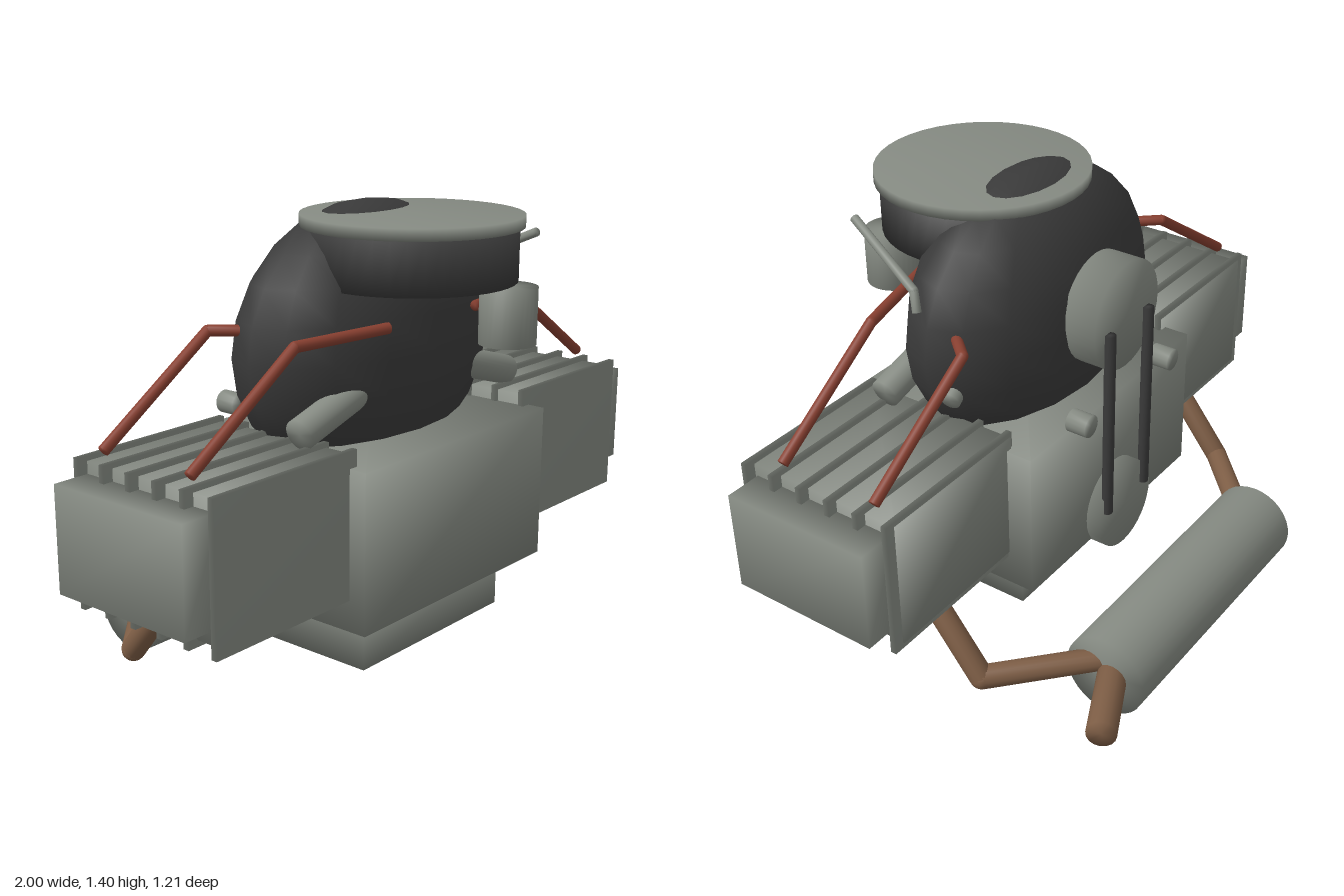
import * as THREE from 'three';
import { mergeVertices } from 'three/addons/utils/BufferGeometryUtils.js';

const material = (name, color) => {
  const m = new THREE.MeshStandardMaterial({ color });
  m.name = name;
  return m;
};

export function createModel() {
  const root = new THREE.Group();
  root.name = 'engine';
  const metal = material('castMetal', 0x858a82);
  const dark = material('darkShroud', 0x3a3a3a);
  const red = material('redLeads', 0x873f30);
  const rust = material('exhaustBrown', 0x7d5d45);

  // Shared corners give the soft, rounded shading
  const soften = (g) => {
    g.deleteAttribute('uv');
    g.deleteAttribute('normal');
    const merged = mergeVertices(g, 1e-4);
    merged.computeVertexNormals();
    return merged;
  };
  const add = (name, geometry, mat, parent = root) => {
    const mesh = new THREE.Mesh(geometry, mat);
    mesh.name = name;
    parent.add(mesh);
    return mesh;
  };
  const box = (name, x0, x1, y0, y1, z0, z1, mat, parent) => {
    const g = soften(new THREE.BoxGeometry(x1 - x0, y1 - y0, z1 - z0));
    add(name, g, mat, parent).position.set((x0 + x1) / 2, (y0 + y1) / 2, (z0 + z1) / 2);
  };
  // Cylinder between two points
  const rod = (name, a, b, r, mat, parent, sides = 32) => {
    const p = new THREE.Vector3(...a), q = new THREE.Vector3(...b);
    const d = q.clone().sub(p);
    const mesh = add(name, soften(new THREE.CylinderGeometry(r, r, d.length(), sides)), mat, parent);
    mesh.position.copy(p).add(q).multiplyScalar(0.5);
    mesh.quaternion.setFromUnitVectors(new THREE.Vector3(0, 1, 0), d.normalize());
  };
  // Bent pipe: straight runs with round elbows
  const pipe = (name, points, r, mat, parent = root) => {
    const group = new THREE.Group();
    group.name = name;
    parent.add(group);
    for (let i = 0; i < points.length - 1; i++) {
      rod(name + 'Run', points[i], points[i + 1], r, mat, group, 14);
      if (i > 0) add(name + 'Elbow', new THREE.SphereGeometry(r, 14, 10), mat, group).position.set(...points[i]);
    }
  };

  // Crankcase and sump
  box('crankcase', -0.42, 0.42, 0.30, 0.76, -0.17, 0.475, metal);
  box('sump', -0.32, 0.32, 0.14, 0.31, -0.06, 0.39, metal);

  // Fan shroud
  const shroud = add('fanShroud', new THREE.SphereGeometry(1, 16, 12), dark);
  shroud.scale.set(0.49, 0.40, 0.257);
  shroud.position.set(0, 1.0, 0.127);

  // Air cleaner, lid and carburettor
  rod('airCleaner', [0, 1.19, 0.29], [0, 1.345, 0.29], 0.298, dark, root, 40);
  rod('airCleanerLid', [0, 1.34, 0.29], [0, 1.373, 0.29], 0.313, metal, root, 40);
  rod('carburettor', [0.16, 1.008, 0.51], [0.16, 1.172, 0.51], 0.082, metal);
  pipe('throttleLever', [[0.36, 1.295, 0.465], [0.44, 1.185, 0.195], [0.455, 1.13, 0.175]], 0.013, metal);

  for (const s of [1, -1]) {
    const side = new THREE.Group();
    side.name = s > 0 ? 'leftCylinderBank' : 'rightCylinderBank';
    root.add(side);
    const span = (a, b) => (s > 0 ? [a, b] : [-b, -a]);

    // Finned cylinder block and valve cover
    box('cylinderBlock', ...span(0.40, 0.89), 0.41, 0.795, -0.09, 0.405, metal, side);
    box('valveCover', ...span(0.87, 1.0), 0.46, 0.76, -0.068, 0.395, metal, side);
    for (let i = 0; i < 6; i++) {
      const z = -0.076 + i * 0.0976;
      box('coolingFin', ...span(0.39, 0.92), 0.39, 0.808, z - 0.009, z + 0.009, metal, side);
    }

    // Ignition leads
    pipe('frontLead', [[s * 0.2, 1.092, 0.37], [s * 0.5, 1.082, 0.303], [s * 0.88, 0.83, 0.303]], 0.016, red, side);
    pipe('rearLead', [[s * 0.43, 1.08, 0.065], [s * 0.5, 1.08, -0.013], [s * 0.88, 0.83, -0.013]], 0.016, red, side);

    // Air duct
    rod('airDuct', [s * 0.22, 0.915, 0.29], [s * 0.475, 0.84, 0.295], 0.045, metal, side);

    // Exhaust pipe
    pipe('exhaustPipe', [[s * 0.67, 0.4, 0.02], [s * 0.67, 0.16, -0.17], [s * 0.4, 0.16, -0.42]], 0.035, rust, side);

    // Belt strand and mounting bolt
    rod('beltStrand', [s * 0.1, 0.41, -0.217], [s * 0.1, 1.02, -0.217], 0.017, dark, side, 12);
    rod('mountingBolt', [s * 0.22, 0.788, -0.17], [s * 0.22, 0.788, -0.235], 0.034, metal, side, 16);
  }
  rod('sidePlug', [0.36, 0.935, 0.085], [0.468, 0.895, 0.065], 0.03, metal, root, 16);

  // Pulleys
  rod('upperPulley', [0, 1.035, -0.10], [0, 1.035, -0.207], 0.165, metal);
  rod('lowerPulley', [0, 0.38, -0.16], [0, 0.38, -0.216], 0.14, metal);

  // Muffler and tailpipe
  rod('muffler', [-0.442, 0.13, -0.437], [0.442, 0.13, -0.437], 0.13, metal);
  rod('tailpipe', [0.40, 0.132, -0.44], [0.652, 0.147, -0.563], 0.044, rust, root, 16);

  return root;
}
